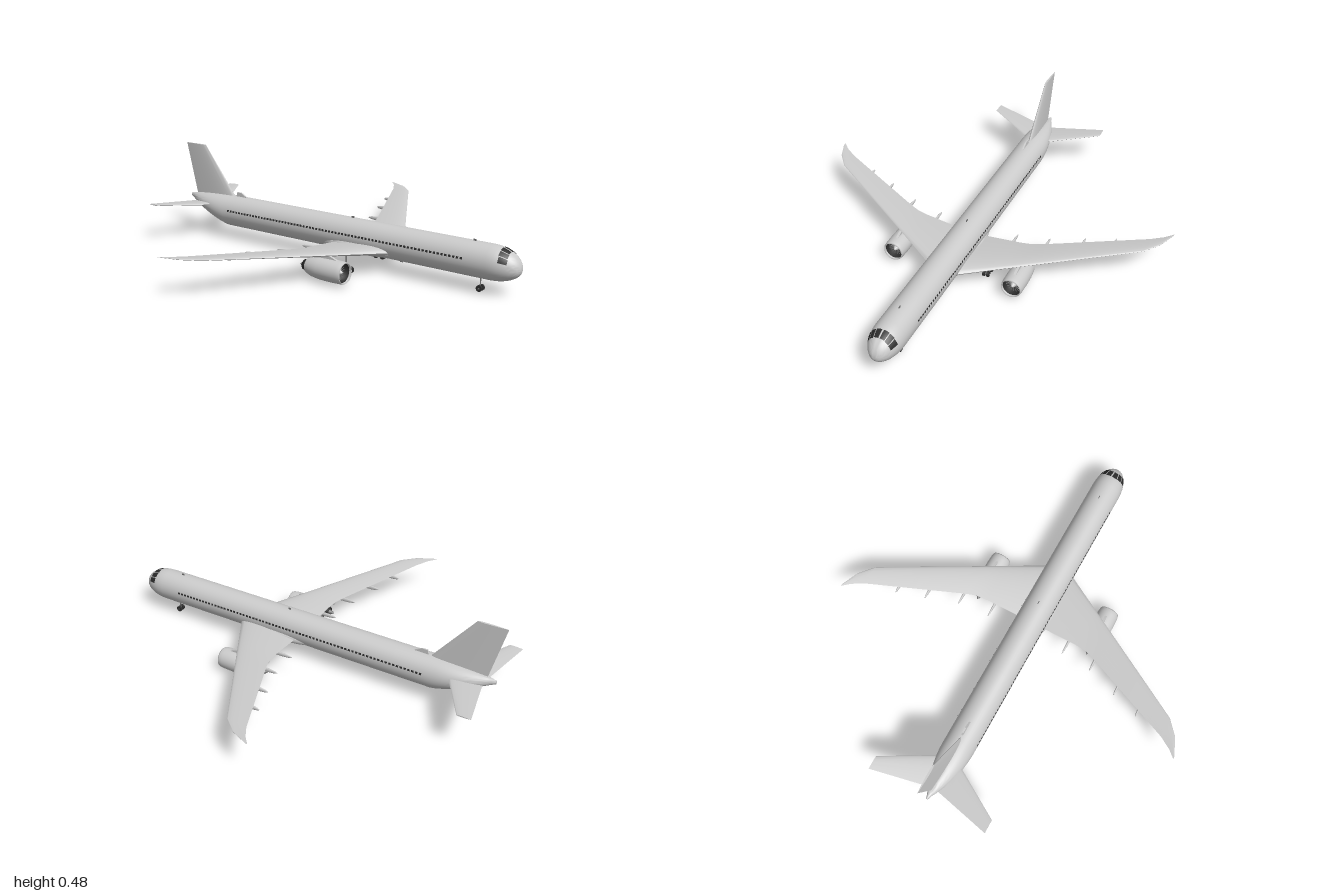
import * as THREE from 'three';
import { mergeGeometries, toCreasedNormals } from 'three/addons/utils/BufferGeometryUtils.js';

const V = (x, y, z) => new THREE.Vector3(x, y, z);
const paint = (name, color, extra = {}) => Object.assign(new THREE.MeshStandardMaterial({ color, ...extra }), { name });

// Skin a list of equal-sized rings, cap both ends and face everything outward
function loft(rings, crease = 0.7) {
  const n = rings[0].length, last = (rings.length - 1) * n, pts = rings.flat(), idx = [];
  for (let i = 0; i < rings.length - 1; i++) {
    for (let j = 0; j < n; j++) {
      const a = i * n + j, b = i * n + (j + 1) % n;
      idx.push(a, b, a + n, b, b + n, a + n);
    }
  }
  for (let j = 1; j < n - 1; j++) idx.push(0, j + 1, j, last, last + j, last + j + 1);
  let volume = 0;
  for (let i = 0; i < idx.length; i += 3) {
    volume += pts[idx[i]].dot(V(0, 0, 0).crossVectors(pts[idx[i + 1]], pts[idx[i + 2]]));
  }
  if (volume < 0) idx.reverse();
  const g = new THREE.BufferGeometry().setFromPoints(pts);
  g.setIndex(idx);
  return toCreasedNormals(g, crease);
}

// Aerofoil ring: place(h, z) turns half-thickness and chord position into a point
function foil(zLE, zTE, ratio, place, n = 12) {
  const chord = zLE - zTE, ring = [];
  for (let i = 0; i < 2 * n; i++) {
    const u = 0.5 + 0.5 * Math.cos(Math.PI * i / n);
    const h = 5 * ratio * chord * (0.2969 * Math.sqrt(u) - 0.126 * u - 0.3516 * u * u + 0.2843 * u ** 3 - 0.1036 * u ** 4);
    ring.push(place(i < n ? h : -h, zLE - u * chord));
  }
  return ring;
}

// Fuselage cross-section at z: centre height, half-width, half-height
const TAIL = -0.68, END = -0.975;
function section(z) {
  let cy = 0.145, rx = 0.077, ry = 0.081;
  if (z > 0.86) {
    const s = Math.sqrt(Math.max(0.0001, 1 - ((z - 0.86) / 0.14) ** 2));
    cy -= 0.014 * (1 - s); rx *= s; ry *= s;
  } else if (z < TAIL) {
    const t = (TAIL - z) / (TAIL - END);
    const top = 0.226 - 0.026 * t * t, bottom = 0.064 + 0.118 * t ** 1.25;
    cy = (top + bottom) / 2; ry = (top - bottom) / 2;
    rx = Math.max(0.005, 0.077 * (1 - t ** 2.2));
  }
  return [cy, rx, ry];
}
// Point on the fuselage skin, angle measured from the top
function skin(z, a, lift = 0) {
  const [cy, rx, ry] = section(z);
  return V(Math.sin(a) * (rx + lift), cy + Math.cos(a) * (ry + lift), z);
}
// Thin pane following the skin
function pane(z0, z1, a0, a1, steps = 3) {
  const pts = [], idx = [], r = Math.PI / 180;
  for (let i = 0; i <= steps; i++) {
    for (let j = 0; j <= steps; j++) {
      pts.push(skin(z0 + (z1 - z0) * i / steps, (a0 + (a1 - a0) * j / steps) * r, 0.0015));
      if (i && j) {
        const d = pts.length - 1, c = d - 1, b = d - steps - 1, a = b - 1;
        idx.push(a, b, c, b, d, c);
      }
    }
  }
  const g = new THREE.BufferGeometry().setFromPoints(pts);
  g.setIndex(a1 > a0 ? idx : idx.reverse());
  g.computeVertexNormals();
  return g;
}
// Slender spindle along z
function spindle(x, y, z, rx, ry, length) {
  const g = new THREE.SphereGeometry(1, 16, 12);
  g.rotateX(Math.PI / 2).scale(rx, ry, length / 2).translate(x, y, z);
  return g;
}
const lathe = pts => new THREE.LatheGeometry(pts.map(p => new THREE.Vector2(...p)), 40).rotateX(Math.PI / 2);

export function createModel() {
  const model = new THREE.Group();
  model.name = 'airliner';
  const hull = paint('hull grey', 0xcccccc);
  const dark = paint('dark glass and rubber', 0x2e2e2e, { side: THREE.DoubleSide });
  const metal = paint('metal grey', 0x777777);
  const add = (name, geometry, material, parent = model) => {
    const m = new THREE.Mesh(geometry, material);
    m.name = name;
    parent.add(m);
    return m;
  };

  // Fuselage
  const zs = [];
  for (let i = 0; i <= 14; i++) zs.push(0.86 + 0.14 * Math.cos(Math.PI / 2 * i / 14) ** 0.7);
  for (let i = 1; i < 8; i++) zs.push(0.86 + (TAIL - 0.86) * i / 8);
  for (let i = 0; i <= 14; i++) zs.push(TAIL + (END - TAIL) * i / 14);
  const around = Array.from({ length: 40 }, (_, i) => i / 20 * Math.PI);
  add('fuselage', loft(zs.map(z => around.map(a => skin(z, a)))), hull);
  add('bellyFairing', spindle(0, 0.105, 0.17, 0.088, 0.045, 0.56), hull);

  // Cockpit and cabin windows
  const cockpit = [], cabin = [];
  for (const s of [-1, 1]) {
    [[3, 24, 0.91, 0.949], [27, 47, 0.912, 0.951], [50, 72, 0.915, 0.953]]
      .forEach(([a0, a1, z0, z1]) => cockpit.push(pane(z0, z1, s * a0, s * a1, 5)));
    for (let i = 0; i < 72; i++) {
      const z = 0.745 - i * 0.0195;
      cabin.push(pane(z - 0.006, z + 0.006, s * 76, s * 83, 1));
    }
  }
  add('cockpitWindows', mergeGeometries(cockpit), dark);
  add('cabinWindows', mergeGeometries(cabin), dark);

  // Tail fin
  const fin = [[0.19, -0.628, -0.928, 0.085], [0.23, -0.66, -0.938, 0.085], [0.476, -0.858, -1, 0.07]];
  add('tailFin', loft(fin.map(([y, le, te, t]) => foil(le, te, t, (h, z) => V(h, y, z)))), hull);

  // Blade aerials
  const blade = new THREE.Shape([[-0.565, 0.222], [-0.61, 0.247], [-0.637, 0.247], [-0.645, 0.222]]
    .map(([z, y]) => new THREE.Vector2(-z, y)));
  add('dorsalAerial', new THREE.ExtrudeGeometry(blade, { depth: 0.008, bevelEnabled: false })
    .translate(0, 0, -0.004).rotateY(Math.PI / 2), hull);
  for (const [y, z] of [[0.228, 0.77], [0.228, 0.11], [0.062, 0.39]]) {
    add('smallAerial', new THREE.BoxGeometry(0.003, 0.012, 0.014).translate(0, y, z), metal);
  }

  // Wing stations: x, leading z, trailing z, thickness ratio
  const wing = [[0, 0.4, 0.04, 0.13], [0.08, 0.35, 0.04, 0.13], [0.25, 0.248, 0.035, 0.11],
    [0.31, 0.212, 0.028, 0.11], [0.36, 0.182, 0.01, 0.11], [0.6, 0.038, -0.097, 0.1],
    [0.82, -0.094, -0.195, 0.09], [0.88, -0.165, -0.232, 0.09], [0.918, -0.255, -0.267, 0.1]];
  const wingY = x => 0.103 + 0.091 * x;
  const stabilizer = [[0, -0.735, -0.915, 0.09], [0.07, -0.776, -0.93, 0.09], [0.31, -0.917, -0.984, 0.08]];
  // Flap fairings: x, rear z, length
  const fairings = [[0.21, -0.035, 0.17], [0.37, -0.055, 0.15], [0.53, -0.11, 0.12], [0.67, -0.158, 0.1]];

  for (const s of [-1, 1]) {
    const side = s > 0 ? 'left' : 'right';
    add(side + 'Wing', loft(wing.map(([x, le, te, t]) => foil(le, te, t, (h, z) => V(s * x, wingY(x) + h, z)))), hull);
    add(side + 'Stabilizer', loft(stabilizer.map(([x, le, te, t]) =>
      foil(le, te, t, (h, z) => V(s * x, 0.167 + 0.085 * x + h, z)))), hull);
    add(side + 'FlapFairings', mergeGeometries(fairings.map(([x, z, l]) =>
      spindle(s * x, wingY(x) - 0.011, z + l / 2, 0.006, 0.011, l))), hull);

    // Engine with fan, spinner and exhaust
    const engine = new THREE.Group();
    engine.name = side + 'Engine';
    engine.position.set(s * 0.313, 0.062, 0);
    model.add(engine);
    add('nacelle', lathe([[0.036, 0.085], [0.046, 0.115], [0.052, 0.16], [0.0535, 0.22], [0.0525, 0.27],
      [0.05, 0.29], [0.0475, 0.295], [0.045, 0.29], [0.044, 0.26], [0.044, 0.16], [0.036, 0.085]]), hull, engine);
    add('fanDuct', lathe([[0.0445, 0.283], [0.0435, 0.25], [0.001, 0.25]]), dark, engine);
    const blades = [];
    for (let i = 0; i < 20; i++) {
      blades.push(new THREE.BoxGeometry(0.004, 0.03, 0.002).rotateY(0.6)
        .translate(0, 0.027, 0.256).rotateZ(i * Math.PI / 10));
    }
    add('fanBlades', mergeGeometries(blades), metal, engine);
    add('spinner', lathe([[0.015, 0.25], [0.012, 0.264], [0.006, 0.275], [0, 0.279]]), hull, engine);
    add('exhaust', lathe([[0, 0.062], [0.024, 0.062], [0.031, 0.085], [0.037, 0.1]]), dark, engine);
    add('exhaustPlug', lathe([[0, 0.035], [0.007, 0.045], [0.014, 0.064]]), metal, engine);
    const pylon = [[0.265, 0.1, 0.108], [0.2, 0.1, 0.133], [0.09, 0.095, 0.13], [0.03, 0.118, 0.128]];
    add(side + 'Pylon', loft(pylon.map(([z, y0, y1]) =>
      [[-1, y0], [1, y0], [1, y1], [-1, y1]].map(([w, y]) => V(s * 0.313 + w * 0.006, y, z)))), hull);
  }

  // Landing gear: position, strut top, axle rows
  const gear = (name, x, z, top, rows) => {
    const group = new THREE.Group();
    group.name = name;
    group.position.set(x, 0, z);
    model.add(group);
    const wheels = [], axles = [];
    for (const dz of rows) {
      for (const dx of [-0.0105, 0.0105]) {
        wheels.push(new THREE.CylinderGeometry(0.0145, 0.0145, 0.011, 20).rotateZ(Math.PI / 2).translate(dx, 0.0145, dz));
      }
      axles.push(new THREE.CylinderGeometry(0.004, 0.004, 0.036, 10).rotateZ(Math.PI / 2).translate(0, 0.0145, dz));
    }
    if (rows.length > 1) axles.push(new THREE.BoxGeometry(0.005, 0.005, 0.04).translate(0, 0.0145, 0));
    axles.push(new THREE.CylinderGeometry(0.003, 0.003, top - 0.0145, 10).translate(0, (top + 0.0145) / 2, 0));
    add('wheels', mergeGeometries(wheels), dark, group);
    add('strut', mergeGeometries(axles), metal, group);
  };
  gear('noseGear', 0, 0.805, 0.075, [0]);
  gear('leftMainGear', 0.143, 0.175, 0.11, [-0.02, 0.02]);
  gear('rightMainGear', -0.143, 0.175, 0.11, [-0.02, 0.02]);
  return model;
}
